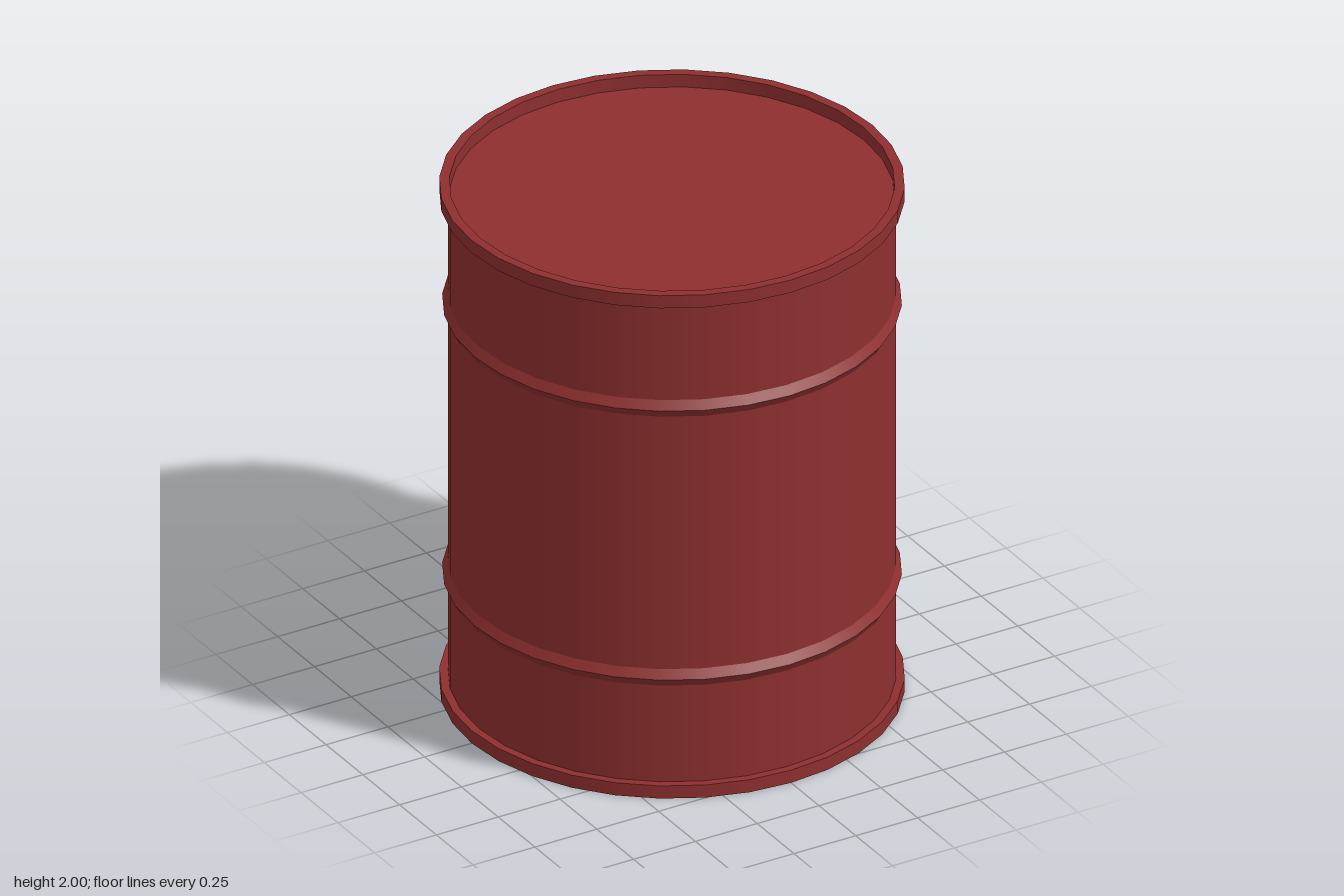
import * as THREE from 'three';
import { mergeGeometries } from 'three/addons/utils/BufferGeometryUtils.js';

const SIDES = 32;
const BODY = 0.78, RIM = 0.81, RIM_IN = 0.775, RIM_H = 0.05;
const material = new THREE.MeshStandardMaterial({ color: 0x8e2f2f });

// Revolves each straight step of a profile on its own: smooth around, sharp between steps.
function turned(name, profile) {
  const steps = profile.slice(1).map(([r, y], i) => new THREE.LatheGeometry(
    [new THREE.Vector2(...profile[i]), new THREE.Vector2(r, y)], SIDES));
  const mesh = new THREE.Mesh(mergeGeometries(steps), material);
  mesh.name = name;
  return mesh;
}

// Flat round end facing up (dir = 1) or down (dir = -1), set inside a rim.
function endPlate(name, y, dir) {
  const mesh = new THREE.Mesh(new THREE.CircleGeometry(RIM_IN, SIDES), material);
  mesh.rotation.x = -dir * Math.PI / 2;
  mesh.position.y = y;
  mesh.name = name;
  return mesh;
}

export function createModel() {
  const barrel = new THREE.Group();
  barrel.name = 'barrel';

  // Wall with two pointed rolling hoops
  const wall = [[BODY, RIM_H]];
  for (const y of [0.465, 1.535]) {
    wall.push([BODY, y - 0.033], [0.8, y], [BODY, y + 0.033]);
  }
  wall.push([BODY, 2 - RIM_H]);
  barrel.add(turned('wall', wall));

  // Raised rims around both ends
  for (const [name, y] of [['bottomRim', 0], ['topRim', 2 - RIM_H]]) {
    barrel.add(turned(name, [
      [RIM_IN, y], [RIM, y], [RIM, y + RIM_H], [RIM_IN, y + RIM_H], [RIM_IN, y],
    ]));
  }

  // Recessed lid and base
  barrel.add(endPlate('lid', 2 - RIM_H, 1), endPlate('base', RIM_H, -1));
  return barrel;
}
